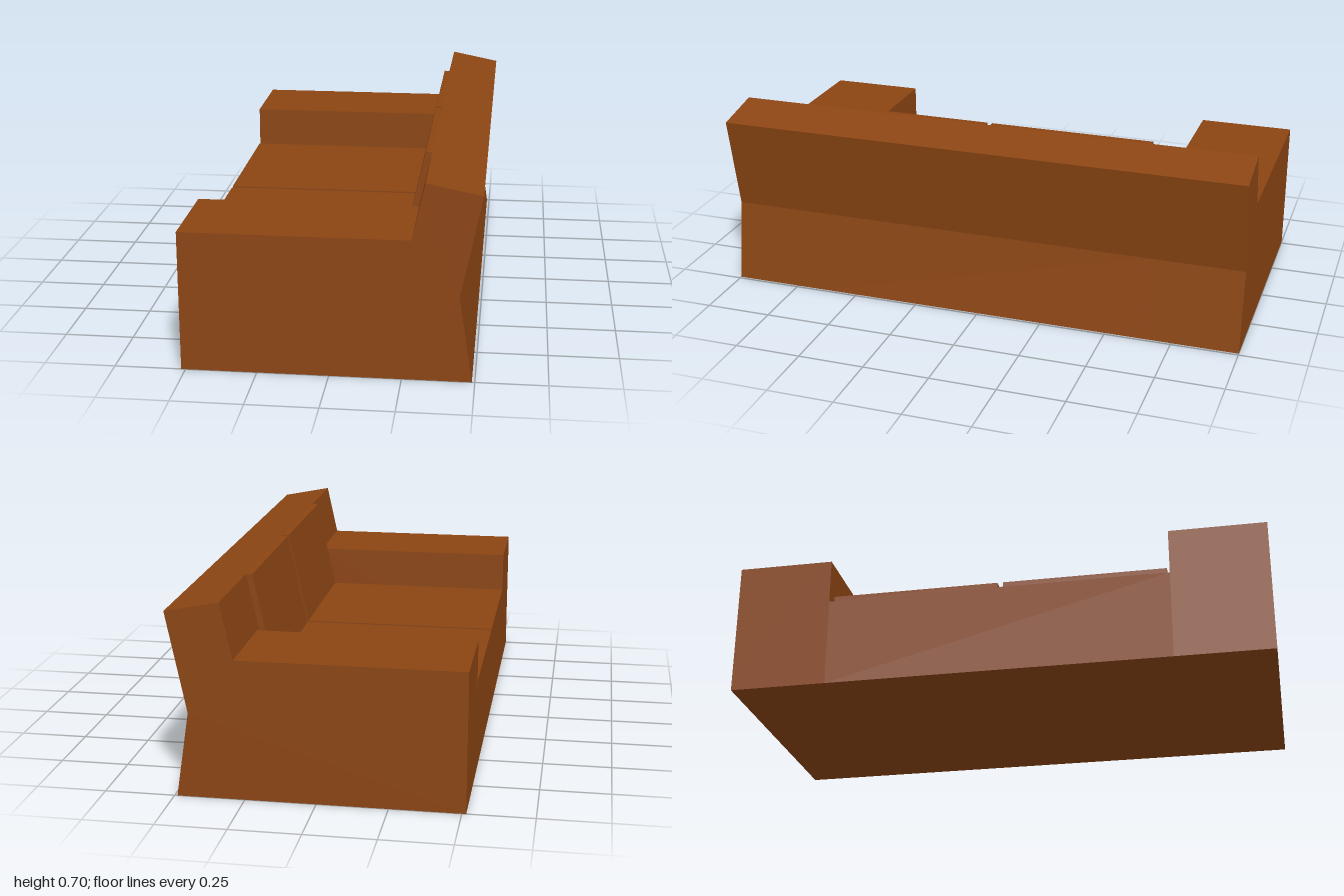
import * as THREE from 'three';

const FRONT = -0.515, SEAT = 0.333, ARM = 0.503, TOP = 0.703, INNER = 0.64;
const material = new THREE.MeshStandardMaterial({ color: 0x8b4513, flatShading: true });

// x of the leaning backrest face at height y
const backX = (y) => 0.28 + (y - ARM) * 0.215;

// Extrude an x-y side profile between two z positions
function slab(name, points, z0, z1) {
  const shape = new THREE.Shape(points.map(([x, y]) => new THREE.Vector2(x, y)));
  const geometry = new THREE.ExtrudeGeometry(shape, { depth: z1 - z0, bevelEnabled: false });
  geometry.translate(0, 0, z0);
  const mesh = new THREE.Mesh(geometry, material);
  mesh.name = name;
  return mesh;
}

// Sofa side profile with the flat part at height h
const profile = (h) => [
  [FRONT, 0], [0.49, 0], [0.443, 0.306], [0.515, 0.665],
  [backX(TOP), TOP], [backX(h), h], [FRONT, h],
];

export function createModel() {
  const sofa = new THREE.Group();
  sofa.name = 'sofa';

  // Frame: low middle section between two higher arm sections
  sofa.add(slab('seatFrame', profile(SEAT), -INNER, INNER));
  sofa.add(slab('rightArm', profile(ARM), -1, -INNER));
  sofa.add(slab('leftArm', profile(ARM), INNER, 1));

  // Two seat cushions with narrow gaps around them
  const seatTop = SEAT + 0.018;
  for (const [z0, z1] of [[-0.62, 0.005], [0.025, 0.63]]) {
    sofa.add(slab('seatCushion', [
      [FRONT, SEAT], [backX(SEAT), SEAT], [backX(seatTop), seatTop], [FRONT, seatTop],
    ], z0, z1));
  }

  // Two back cushions, leaning with the backrest
  const t = 0.023;
  for (const [z0, z1] of [[-0.615, 0.002], [0.02, 0.634]]) {
    sofa.add(slab('backCushion', [
      [backX(SEAT) - t, SEAT], [backX(SEAT), SEAT], [backX(TOP), TOP], [backX(TOP) - t, TOP],
    ], z0, z1));
  }
  return sofa;
}
